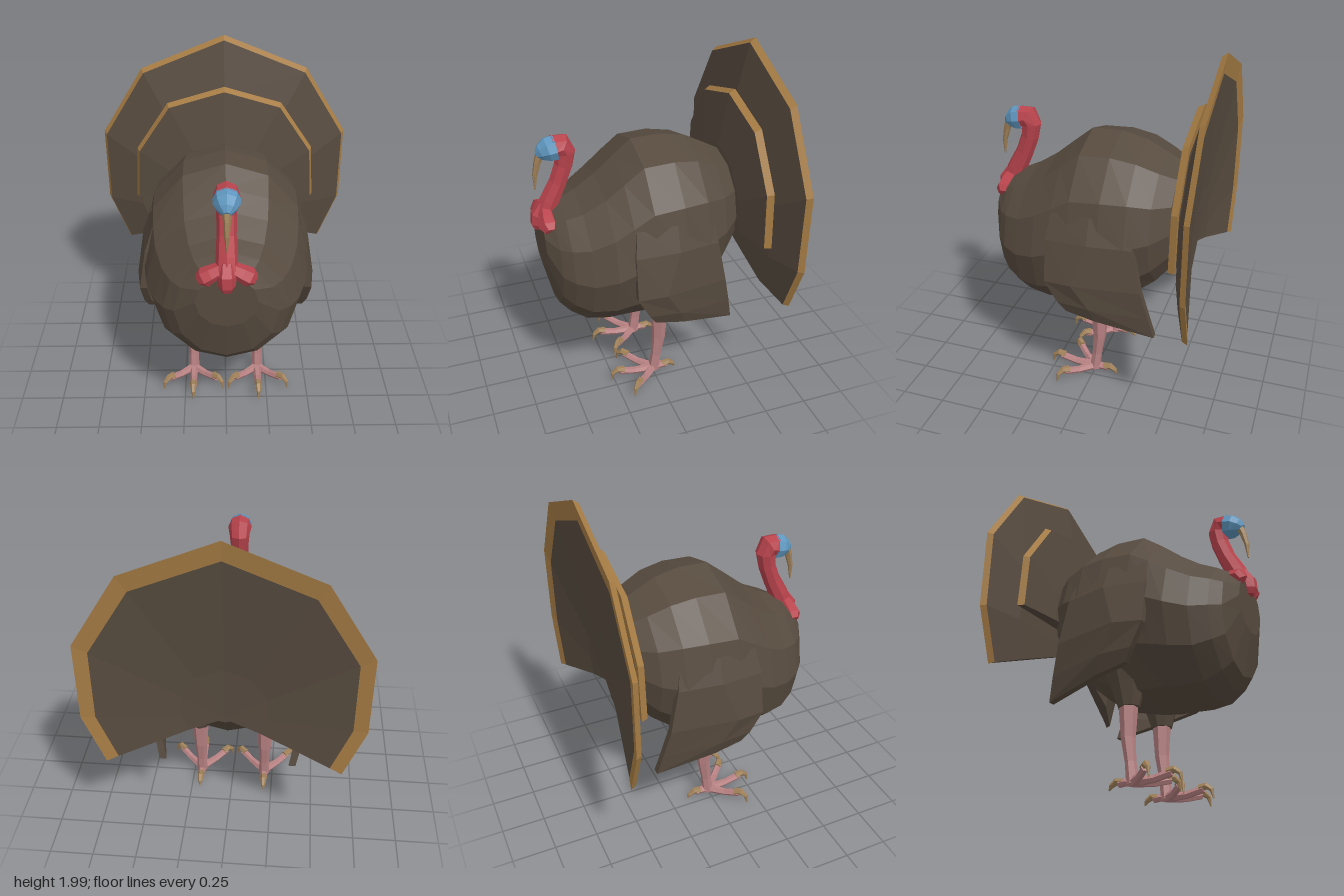
import * as THREE from 'three';

const mat = (name, color) => {
  const m = new THREE.MeshStandardMaterial({ color });
  m.name = name;
  return m;
};
const V = (x, y, z) => new THREE.Vector3(x, y, z);

// Closed flat-shaded skin over rings of equal, even point count.
// slot(j) picks the material index for the strip between points j and j + 1.
function loft(rings, slot = () => 0) {
  const n = rings[0].length;
  const tris = [[], []];
  const quad = (s, a, b, c, d) => tris[s].push([a, b, c], [a, c, d]);
  for (let i = 0; i < rings.length - 1; i++) {
    const p = rings[i], q = rings[i + 1];
    for (let j = 0; j < n; j++) {
      const k = (j + 1) % n;
      quad(slot(j), p[j], p[k], q[k], q[j]);
    }
  }
  const first = rings[0], last = rings[rings.length - 1];
  for (let j = 0; j < n / 2 - 1; j++) {
    quad(0, last[j], last[j + 1], last[n - 2 - j], last[n - 1 - j]);
    quad(0, first[n - 1 - j], first[n - 2 - j], first[j + 1], first[j]);
  }
  // Turn the skin outward if it was wound inside out
  let volume = 0;
  for (const [a, b, c] of tris.flat()) volume += a.dot(b.clone().cross(c));
  const pts = [];
  const geo = new THREE.BufferGeometry();
  tris.forEach((list, s) => {
    if (list.length) geo.addGroup(pts.length, list.length * 3, s);
    for (const [a, b, c] of list) pts.push(...(volume > 0 ? [a, b, c] : [a, c, b]));
  });
  geo.setFromPoints(pts);
  geo.computeVertexNormals();
  return geo;
}

// Tapered tube through [x, y, z, radius] points; side is square to the path's plane
function tube(path, side, n = 6) {
  const c = path.map(p => V(p[0], p[1], p[2]));
  return loft(path.map((p, i) => {
    const t = c[Math.min(i + 1, c.length - 1)].clone().sub(c[Math.max(i - 1, 0)]).normalize();
    const up = side.clone().cross(t).normalize();
    return Array.from({ length: n }, (_, j) => {
      const a = (j / n) * Math.PI * 2;
      return c[i].clone().addScaledVector(side, Math.cos(a) * p[3]).addScaledVector(up, Math.sin(a) * p[3]);
    });
  }));
}

export function createModel() {
  const feather = mat('darkFeather', 0x574b3f);
  const gold = mat('goldFeatherTip', 0xa67c44);
  const red = mat('redSkin', 0xb8434c);
  const blue = mat('blueSkin', 0x5f97bf);
  const pink = mat('pinkLeg', 0xb98283);
  const horn = mat('horn', 0xa08159);

  const model = new THREE.Group();
  const add = (name, geo, material, parent = model) => {
    const mesh = new THREE.Mesh(geo, material);
    mesh.name = name;
    parent.add(mesh);
  };
  const X = V(1, 0, 0);

  // Body: twelve-sided rings [z, top, bottom, half width]
  const bodyRings = [
    [0.602, 1.14, 0.83, 0.165], [0.545, 1.19, 0.59, 0.28], [0.49, 1.22, 0.53, 0.34],
    [0.40, 1.26, 0.47, 0.395], [0.28, 1.34, 0.455, 0.443], [0.18, 1.425, 0.455, 0.458],
    [0.07, 1.515, 0.45, 0.465], [-0.10, 1.52, 0.49, 0.465], [-0.24, 1.49, 0.57, 0.44],
    [-0.36, 1.43, 0.67, 0.385], [-0.45, 1.38, 0.78, 0.30], [-0.53, 1.28, 0.87, 0.20],
  ];
  add('body', loft(bodyRings.map(([z, top, bottom, w]) =>
    Array.from({ length: 12 }, (_, j) => {
      const a = (j / 12) * Math.PI * 2;
      return V(Math.sin(a) * w, (top + bottom) / 2 + Math.cos(a) * (top - bottom) / 2, z);
    }))), feather);

  // Tail fans: a thin dished section [scale, z] swept round half of a mirrored outline
  const fan = (name, half, cy, section) => {
    const outline = [...half.slice(1).reverse().map(([x, y]) => [-x, y]), ...half];
    const rings = outline.map(([x, y]) => section.map(([s, z]) => V(x * s, cy + (y - cy) * s, z)));
    add(name, loft(rings, j => (j === 3 || j === 4 ? 1 : 0)), [feather, gold]);
  };
  fan('largeTailFan', [[0, 2], [0.493, 1.8], [0.743, 1.4], [0.743, 0.95], [0.63, 0.655]], 0.91,
    [[0, -0.51], [0.25, -0.52], [0.7, -0.548], [0.978, -0.615],
      [1, -0.647], [0.9, -0.632], [0.3, -0.562], [0, -0.55]]);
  fan('smallTailFan', [[0, 1.72], [0.34, 1.62], [0.535, 1.33], [0.555, 1.01]], 1.0,
    [[0, -0.44], [0.25, -0.445], [0.55, -0.458], [0.972, -0.508],
      [1, -0.545], [0.9, -0.54], [0.25, -0.515], [0, -0.51]]);

  // Neck and back of head
  add('neck', tube([
    [0, 1.13, 0.575, 0.06], [0, 1.22, 0.535, 0.057], [0, 1.32, 0.485, 0.051],
    [0, 1.42, 0.448, 0.052], [0, 1.495, 0.436, 0.058], [0, 1.535, 0.455, 0.067], [0, 1.528, 0.495, 0.069],
  ], X, 8), red);
  add('face', tube([
    [0, 1.527, 0.487, 0.071], [0, 1.52, 0.53, 0.068], [0, 1.507, 0.566, 0.046], [0, 1.495, 0.588, 0.02],
  ], X, 8), blue);
  add('beak', tube([
    [0, 1.5, 0.57, 0.025], [0, 1.455, 0.588, 0.02], [0, 1.38, 0.606, 0.014], [0, 1.295, 0.61, 0.004],
  ], X), horn);

  // Wattle: one lobe in the middle and one on each side
  add('middleWattle', tube([
    [0, 1.2, 0.565, 0.04], [0, 1.14, 0.6, 0.05], [0, 1.09, 0.607, 0.045], [0, 1.06, 0.605, 0.03],
  ], X), red);

  for (const s of [1, -1]) {
    const label = s > 0 ? 'left' : 'right';
    add(label + 'Wattle', tube([
      [s * 0.02, 1.17, 0.565, 0.04], [s * 0.075, 1.14, 0.57, 0.05],
      [s * 0.115, 1.118, 0.57, 0.055], [s * 0.142, 1.1, 0.565, 0.035],
    ], V(0, 0, 1)), red);

    // Wing: front, middle and back points [x, y, z] for each row, emerging from the shoulder
    const rows = [
      [[0.405, 1.17, 0.17], [0.425, 1.18, -0.05], [0.385, 1.19, -0.26]],
      [[0.452, 1.03, 0.19], [0.475, 1.04, -0.05], [0.43, 1.03, -0.29]],
      [[0.49, 0.79, 0.19], [0.512, 0.80, 0.03], [0.44, 0.78, -0.34]],
      [[0.478, 0.66, 0.12], [0.485, 0.65, -0.06], [0.415, 0.61, -0.38]],
      [[0.455, 0.595, 0.08], [0.45, 0.555, -0.09], [0.39, 0.475, -0.41]],
    ];
    add(label + 'Wing', loft(rows.map(r => [
      ...r.map(([x, y, z]) => V(s * x, y, z)),
      ...[...r].reverse().map(([x, y, z]) => V(s * (x - 0.04), y, z)),
    ])), feather);

    // Leg, with a feathered thigh
    const leg = new THREE.Group();
    leg.name = label + 'Leg';
    leg.position.x = s * 0.2;
    model.add(leg);
    add('thigh', tube([[0, 0.7, -0.05, 0.15], [0, 0.57, -0.04, 0.1], [0, 0.445, -0.033, 0.06]], X, 8), feather, leg);
    add('shank', tube([
      [0, 0.47, -0.035, 0.053], [0, 0.28, -0.034, 0.039], [0, 0.15, -0.018, 0.03], [0, 0.035, -0.004, 0.034],
    ], X), pink, leg);

    // Toes [heading, length, knuckle height], each ending in a hooked claw
    for (const [angle, len, h] of [[0, 0.215, 0.072], [0.8, 0.2, 0.072], [-0.8, 0.2, 0.072], [Math.PI, 0.085, 0.045]]) {
      const dx = Math.sin(angle), dz = Math.cos(angle);
      const at = (d, y, r) => [dx * d, y, dz * d, r];
      const side = V(dz, 0, -dx);
      add('toe', tube([at(0, 0.045, 0.027), at(len * 0.55, 0.05, 0.021), at(len, h, 0.021)], side), pink, leg);
      add('claw', tube([
        at(len - 0.025, h + 0.005, 0.022), at(len + 0.015, h + 0.014, 0.019),
        at(len + 0.045, h - 0.008, 0.013), at(len + 0.056, 0.015, 0.003),
      ], side), horn, leg);
    }
  }
  return model;
}
